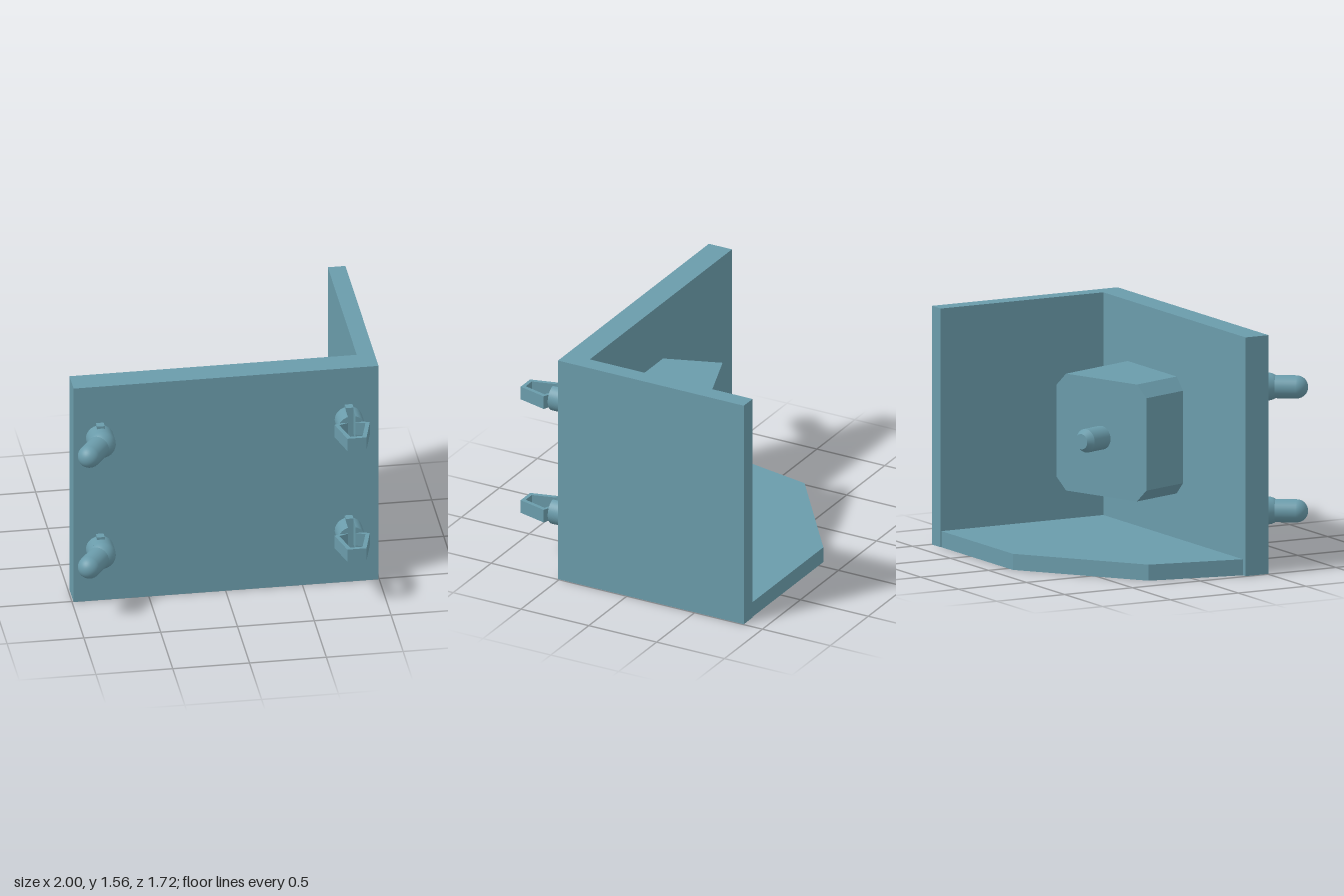
import * as THREE from 'three';

const flat = new THREE.MeshStandardMaterial({ color: 0x6a9baa, flatShading: true });
const smooth = new THREE.MeshStandardMaterial({ color: 0x6a9baa });

function add(parent, name, geometry, material = flat, x = 0, y = 0, z = 0) {
  const mesh = new THREE.Mesh(geometry, material);
  mesh.name = name;
  mesh.position.set(x, y, z);
  parent.add(mesh);
  return mesh;
}

function group(parent, name, x, y, z) {
  const g = new THREE.Group();
  g.name = name;
  g.position.set(x, y, z);
  parent.add(g);
  return g;
}

const toShape = (pts) => new THREE.Shape(pts.map(([x, y]) => new THREE.Vector2(x, y)));
const extrude = (shape, depth, curveSegments = 16) =>
  new THREE.ExtrudeGeometry(shape, { depth, bevelEnabled: false, curveSegments });

// Horizontal slab from an outline in (x, z), rising from y = 0
function slab(outline, height, hole) {
  const flip = (pts) => pts.map(([x, z]) => [x, -z]);
  const shape = toShape(flip(outline));
  if (hole) shape.holes.push(toShape(flip(hole)));
  return extrude(shape, height).rotateX(-Math.PI / 2);
}

// Small locking key at the root of every connector
function addKey(parent) {
  add(parent, 'lockingKey', new THREE.BoxGeometry(0.05, 0.212, 0.06), flat, 0, 0, 0.02);
}

// Bent round-ended hook
function addHook(parent, y) {
  const g = group(parent, 'hook', -0.82, y, 0.51);
  add(g, 'hookBase', new THREE.CylinderGeometry(0.09, 0.09, 0.11, 28).rotateX(Math.PI / 2), smooth, 0, 0, 0.035);
  add(g, 'hookElbow', new THREE.SphereGeometry(0.09, 28, 18), smooth, 0, 0, 0.09);
  addKey(g);
  const arm = group(g, 'hookArm', 0, 0, 0.09);
  arm.rotation.y = -Math.atan2(0.105, 0.152);
  add(arm, 'hookShaft', new THREE.CapsuleGeometry(0.075, 0.185, 10, 28).rotateX(Math.PI / 2), smooth, 0, 0, 0.0925);
}

// Split stud carrying a springy open loop
function addClip(parent, y) {
  const g = group(parent, 'clip', 0.8, y, 0.51);
  const a = Math.acos(0.025 / 0.09);
  const half = new THREE.Shape();
  half.absarc(0, 0, 0.09, -a, a, false);
  half.closePath();
  for (const turn of [0, Math.PI]) {
    add(g, 'clipStud', extrude(half, 0.145, 20).rotateZ(turn), flat, 0, 0, -0.01);
  }
  addKey(g);
  const side = [[0.025, 0.115], [0.115, 0.15], [0.062, 0.35]];
  const inner = [[0.035, 0.325], [0.085, 0.16], [0.025, 0.138]];
  const mirror = (pts) => pts.map(([x, z]) => [-x, z]).reverse();
  add(g, 'clipLoop', slab([...side, ...mirror(side), ...mirror(inner), ...inner].length
    ? [...side, ...mirror(side), [-0.025, 0.138], [-0.085, 0.16], [-0.04, 0.325],
      [0.04, 0.325], [0.085, 0.16], [0.025, 0.138]] : side, 0.09), flat, 0, -0.045, 0);
}

// Chamfered block set at an angle against the front wall, with a stub shaft
function addMotor(parent) {
  const angle = THREE.MathUtils.degToRad(19.7);
  const faceZ = -0.1275;
  const g = group(parent, 'motor', 0.07, 0.78, faceZ);
  g.rotation.y = angle;
  const h = 0.382, c = 0.302;
  const body = extrude(toShape([[-c, -h], [c, -h], [h, -c], [h, c], [c, h], [-c, h], [-h, c], [-h, -c]]), 1);
  // Slide the rear corners along the axis to end inside the wall
  const p = body.attributes.position;
  for (let i = 0; i < p.count; i++) {
    if (p.getZ(i) > 0.5) p.setZ(i, (0.36 - faceZ + p.getX(i) * Math.sin(angle)) / Math.cos(angle));
  }
  add(g, 'motorBody', body);
  const profile = [[0.077, -0.02], [0.077, 0.155], [0.05, 0.198], [0, 0.198]];
  // Separate sections keep the shaft rims sharp
  for (let i = 0; i < 3; i++) {
    const pts = profile.slice(i, i + 2).map(([r, y]) => new THREE.Vector2(r, y));
    add(g, 'motorShaft', new THREE.LatheGeometry(pts, 28).rotateX(-Math.PI / 2), smooth);
  }
}

export function createModel() {
  const model = new THREE.Group();
  model.name = 'cornerBracket';

  // Walls and floor
  add(model, 'frontWall', new THREE.BoxGeometry(1.985, 1.56, 0.17), flat, 0.0025, 0.78, 0.425);
  add(model, 'sideWall', new THREE.BoxGeometry(0.115, 1.56, 1.2), flat, 0.9375, 0.78, -0.26);
  add(model, 'floor', slab([[0.88, 0.34], [0.88, -0.855], [-0.06, -0.855], [-0.83, -0.285], [-0.955, 0.34]], 0.105));

  addMotor(model);

  // Connectors on the front
  for (const y of [0.38, 1.19]) {
    addHook(model, y);
    addClip(model, y);
  }
  return model;
}
